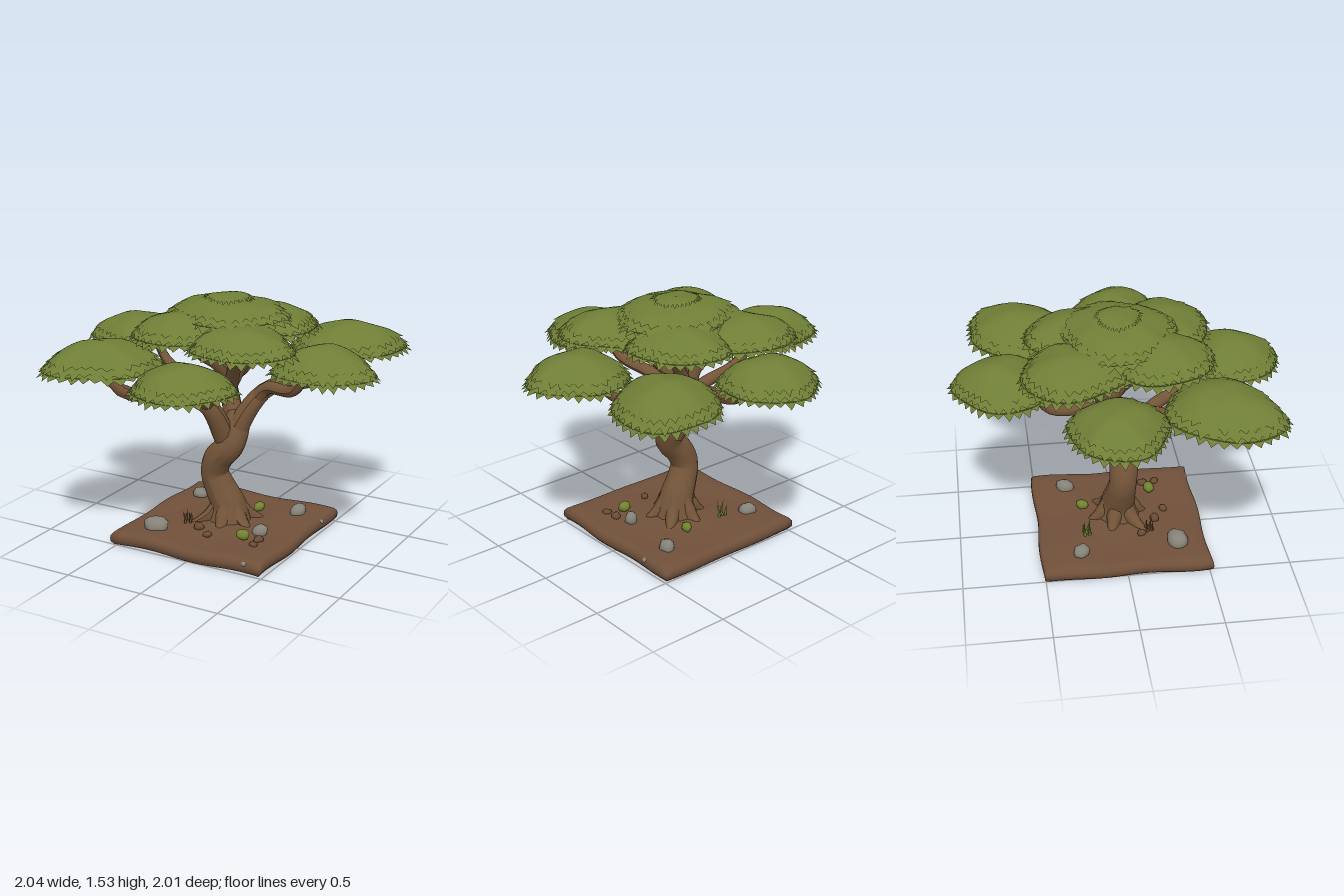
import * as THREE from 'three';
import { mergeGeometries, mergeVertices } from 'three/addons/utils/BufferGeometryUtils.js';

const material = (name, color, side = THREE.FrontSide) => {
  const m = new THREE.MeshStandardMaterial({ color, side });
  m.name = name;
  return m;
};

function seeded(seed) {
  let s = seed * 7919 + 13;
  return () => (s = (s * 16807) % 2147483647) / 2147483647;
}

// Smooth or faceted closed surface with welded corners
function weld(geometry, rule) {
  geometry.deleteAttribute('uv');
  geometry.deleteAttribute('normal');
  const g = mergeVertices(geometry, 1e-4);
  const p = g.attributes.position, v = new THREE.Vector3();
  for (let i = 0; i < p.count; i++) {
    rule(v.fromBufferAttribute(p, i));
    p.setXYZ(i, v.x, v.y, v.z);
  }
  g.computeVertexNormals();
  return g;
}

// Tube whose radius follows a list of radii along the path
function limb(points, radii, segments = 18, sides = 10) {
  const curve = new THREE.CatmullRomCurve3(points.map(p => new THREE.Vector3(...p)), false, 'centripetal');
  const g = new THREE.TubeGeometry(curve, segments, 1, sides);
  const p = g.attributes.position, v = new THREE.Vector3();
  for (let i = 0; i <= segments; i++) {
    const c = curve.getPointAt(i / segments);
    const t = curve.getUtoTmapping(i / segments) * (radii.length - 1);
    const k = Math.min(Math.floor(t), radii.length - 2);
    const r = THREE.MathUtils.lerp(radii[k], radii[k + 1], t - k);
    for (let j = 0; j <= sides; j++) {
      const n = i * (sides + 1) + j;
      v.fromBufferAttribute(p, n).sub(c).multiplyScalar(r).add(c);
      p.setXYZ(n, v.x, v.y, v.z);
    }
  }
  g.computeVertexNormals();
  return g;
}

// Leaf pad: overlapping domed layers with ragged rims, and a shallow underside
function leafPad({ x, y, z, rx, rz, h, cap }, seed) {
  const rnd = seeded(seed), phase = rnd() * 6, sides = 64, rings = 6;
  const turn = Math.atan2(z, x);
  const layer = (scale, lift, under) => {
    const pos = [0, under ? -0.005 : h + lift, 0], idx = [];
    for (let i = 1; i <= rings; i++) {
      for (let j = 0; j < sides; j++) {
        const a = j / sides * Math.PI * 2, t = i / rings * scale;
        const rim = i === rings && !under;
        const tooth = rim ? (j % 2 ? 0.03 + 0.06 * rnd() : -0.03 * rnd()) : 0;
        const w = (1 + 0.04 * Math.sin(3 * a + phase) + 0.025 * Math.sin(5 * a + phase * 2)) * (t + tooth);
        const px = rx * w * Math.cos(a), pz = rz * w * Math.sin(a);
        const bump = 0.006 * Math.sin(px * 22 + phase) * Math.cos(pz * 19 + phase);
        const drop = rim ? (j % 2 ? 0.012 + 0.02 * rnd() : 0) : 0;
        pos.push(px * Math.cos(turn) - pz * Math.sin(turn),
          under ? -0.005 + 0.02 * t * t : h * (1 - Math.pow(t, 2.1)) + lift + bump - drop,
          px * Math.sin(turn) + pz * Math.cos(turn));
      }
    }
    const at = (i, j) => 1 + (i - 1) * sides + j % sides;
    const tri = (a, b, c) => under ? idx.push(a, c, b) : idx.push(a, b, c);
    for (let j = 0; j < sides; j++) {
      tri(0, at(1, j + 1), at(1, j));
      for (let i = 1; i < rings; i++) {
        tri(at(i, j), at(i, j + 1), at(i + 1, j));
        tri(at(i, j + 1), at(i + 1, j + 1), at(i + 1, j));
      }
    }
    const g = new THREE.BufferGeometry();
    g.setAttribute('position', new THREE.Float32BufferAttribute(pos, 3));
    g.setIndex(idx);
    g.computeVertexNormals();
    return g;
  };
  const parts = [layer(0.97, 0, true), layer(0.98, 0), layer(0.93, 0.014), layer(0.84, 0.026)];
  if (cap) parts.push(layer(0.36, 0.042));
  return mergeGeometries(parts).translate(x, y, z);
}

export function createModel() {
  const tree = new THREE.Group();
  tree.name = 'flatToppedTree';
  const bark = material('bark', 0x745539);
  const soil = material('soil', 0x70503a);
  const leaf = material('leaves', 0x6f7e36, THREE.DoubleSide);
  const stone = material('stone', 0x86847a);
  const shrub = material('shrub', 0x72852f);
  const clod = material('clod', 0x6b4c35);
  const add = (name, geometry, mat, parent = tree) => {
    const mesh = new THREE.Mesh(geometry, mat);
    mesh.name = name;
    parent.add(mesh);
    return mesh;
  };
  const group = name => {
    const g = new THREE.Group();
    g.name = name;
    tree.add(g);
    return g;
  };

  // Soil slab with rounded, wavy edges and a mound at the trunk
  add('soilSlab', weld(new THREE.BoxGeometry(1.03, 0.08, 1.03, 18, 4, 18), v => {
    const { x, y, z } = v, e = Math.pow(Math.abs(y) / 0.04, 3) * 0.018;
    const edge = Math.max(Math.abs(x), Math.abs(z)) / 0.515;
    v.x = x * (1 - e / 0.515) - 0.012 + 0.008 * Math.sin(z * 11);
    v.z = z * (1 - e / 0.515) + 0.008 * Math.sin(x * 10 + 1);
    v.y = y + 0.055 + (y > 0.03 ? 0.025 * Math.exp(-(x * x + z * z) * 16) : 0);
    v.y += 0.007 * Math.sin(x * 9 + 1) * Math.cos(z * 8) * (edge > 0.5 || y > 0 ? 1 : 0);
  }), soil);

  // Bent trunk and roots
  add('trunk', limb(
    [[0.01, 0.07, 0], [0, 0.2, 0], [-0.05, 0.31, 0.01], [-0.085, 0.41, 0.02], [-0.05, 0.51, 0.03], [0.03, 0.6, 0.03], [0.045, 0.72, -0.02], [0.02, 0.8, -0.05]],
    [0.15, 0.108, 0.095, 0.085, 0.09, 0.085, 0.082, 0.05], 32, 14), bark);
  const roots = group('roots');
  for (let i = 0; i < 6; i++) {
    const a = i * 1.05 + 0.35, c = Math.cos(a), s = Math.sin(a), r = 0.2 + 0.03 * Math.sin(i * 4);
    add('root', limb([[0.06 * c, 0.25, 0.06 * s], [0.1 * c, 0.15, 0.1 * s], [r * c, 0.08, r * s]],
      [0.035, 0.05, 0.02], 8, 8), bark, roots);
  }

  // Main limbs reach the outer pads, thin ones the inner pads
  const limbs = group('branches');
  const main = [0.07, 0.058, 0.048, 0.04, 0.026], side = [0.045, 0.04, 0.035, 0.022];
  [
    [[[0.04, 0.66, 0.01], [0.13, 0.85, -0.05], [0.21, 0.95, -0.13], [0.44, 0.99, -0.41], [0.54, 1.2, -0.5]], main],
    [[[0, 0.64, 0.03], [-0.05, 0.86, 0.14], [-0.15, 0.93, 0.21], [-0.44, 1, 0.49], [-0.55, 1.2, 0.55]], main],
    [[[0.04, 0.66, -0.02], [-0.03, 0.85, -0.09], [-0.04, 0.97, -0.08], [0, 1.12, -0.04], [0, 1.43, 0]], main],
    [[[0.15, 0.88, -0.07], [0.23, 0.97, -0.06], [0.45, 1.01, 0.02], [0.58, 1.2, 0.06]], side],
    [[[-0.03, 0.85, -0.06], [-0.13, 0.94, -0.06], [-0.44, 1.02, -0.06], [-0.58, 1.2, -0.08]], side],
    [[[-0.03, 0.86, -0.08], [-0.07, 0.95, -0.14], [-0.1, 0.99, -0.42], [-0.1, 1.2, -0.54]], side],
    [[[-0.06, 0.87, 0.14], [-0.03, 0.95, 0.25], [0.04, 1.02, 0.48], [0.09, 1.17, 0.6]], side],
    ...[[-0.23, 1.32, -0.25], [0.23, 1.32, 0.25], [0.17, 1.34, -0.21], [-0.18, 1.34, 0.21]].map(
      ([x, y, z]) => [[[-0.03, 0.95, -0.08], [x * 0.3, 1.1, z * 0.3 - 0.03], [x * 0.7, 1.2, z * 0.7], [x, y, z]], side]),
  ].forEach(([points, radii]) => add('branch', limb(points, radii), bark, limbs));

  // Leaf pads: six outer, four inner, one on top
  const canopy = group('canopy');
  const pad = (x, y, z, rx, rz, h, cap) => ({ x, y, z, rx, rz, h, cap });
  [
    pad(-0.11, 1.155, -0.69, 0.29, 0.31, 0.14), pad(0.53, 1.145, -0.54, 0.37, 0.31, 0.14),
    pad(0.67, 1.155, 0.07, 0.31, 0.29, 0.14), pad(0.1, 1.125, 0.69, 0.29, 0.31, 0.13),
    pad(-0.53, 1.14, 0.54, 0.37, 0.31, 0.14), pad(-0.68, 1.165, -0.08, 0.31, 0.29, 0.13),
    pad(-0.25, 1.295, -0.28, 0.34, 0.31, 0.11), pad(0.25, 1.285, 0.27, 0.34, 0.31, 0.11),
    pad(0.16, 1.31, -0.23, 0.31, 0.31, 0.11), pad(-0.18, 1.31, 0.22, 0.32, 0.31, 0.11),
    pad(0, 1.4, 0, 0.39, 0.35, 0.09, true),
  ].forEach((p, i) => add('leafPad', leafPad(p, i + 1), leaf, canopy));

  // Stones, clods and round shrubs on the soil: x, y, z, width, height
  const litter = group('groundLitter');
  const lumps = (name, mat, list) => list.forEach(([x, y, z, w, h], i) => {
    const rnd = seeded(i + name.length * 9);
    const g = weld(new THREE.IcosahedronGeometry(1, 1), v => v.multiplyScalar(0.85 + 0.25 * rnd()));
    g.scale(w, h, w * 0.8).rotateY(i * 1.3).translate(x, y, z);
    add(name, g, mat, litter);
  });
  lumps('stone', stone, [
    [-0.32, 0.115, 0.33, 0.085, 0.055], [0.33, 0.11, -0.31, 0.06, 0.05], [-0.36, 0.11, -0.27, 0.06, 0.045],
    [0.28, 0.115, 0.1, 0.05, 0.045], [0.38, 0.075, 0.48, 0.035, 0.018], [0.48, 0.075, -0.3, 0.035, 0.018],
  ]);
  lumps('shrub', shrub, [[0.23, 0.13, 0.23, 0.045, 0.032], [0.1, 0.125, -0.22, 0.04, 0.032]]);
  lumps('clod', clod, [
    [-0.08, 0.115, 0.22, 0.035, 0.03], [0.32, 0.105, 0.2, 0.035, 0.025], [0.33, 0.105, 0.28, 0.03, 0.02],
    [0.02, 0.11, 0.29, 0.03, 0.02], [-0.22, 0.11, 0.12, 0.03, 0.025],
  ]);

  // Grass tuft and dry twigs
  const tuft = (name, mat, x, z, height) => {
    for (let i = 0; i < 4; i++) {
      const a = i * 1.7, g = new THREE.ConeGeometry(0.011, height * (1 - i * 0.14), 4);
      g.translate(0, height / 2, 0).rotateX(0.22 * Math.cos(a)).rotateZ(0.22 * Math.sin(a));
      add(name, g.translate(x + 0.02 * Math.cos(a), 0.095, z + 0.02 * Math.sin(a)), mat, litter);
    }
  };
  tuft('grassBlade', shrub, -0.19, -0.22, 0.12);
  tuft('twig', clod, -0.19, 0.17, 0.1);
  return tree;
}
